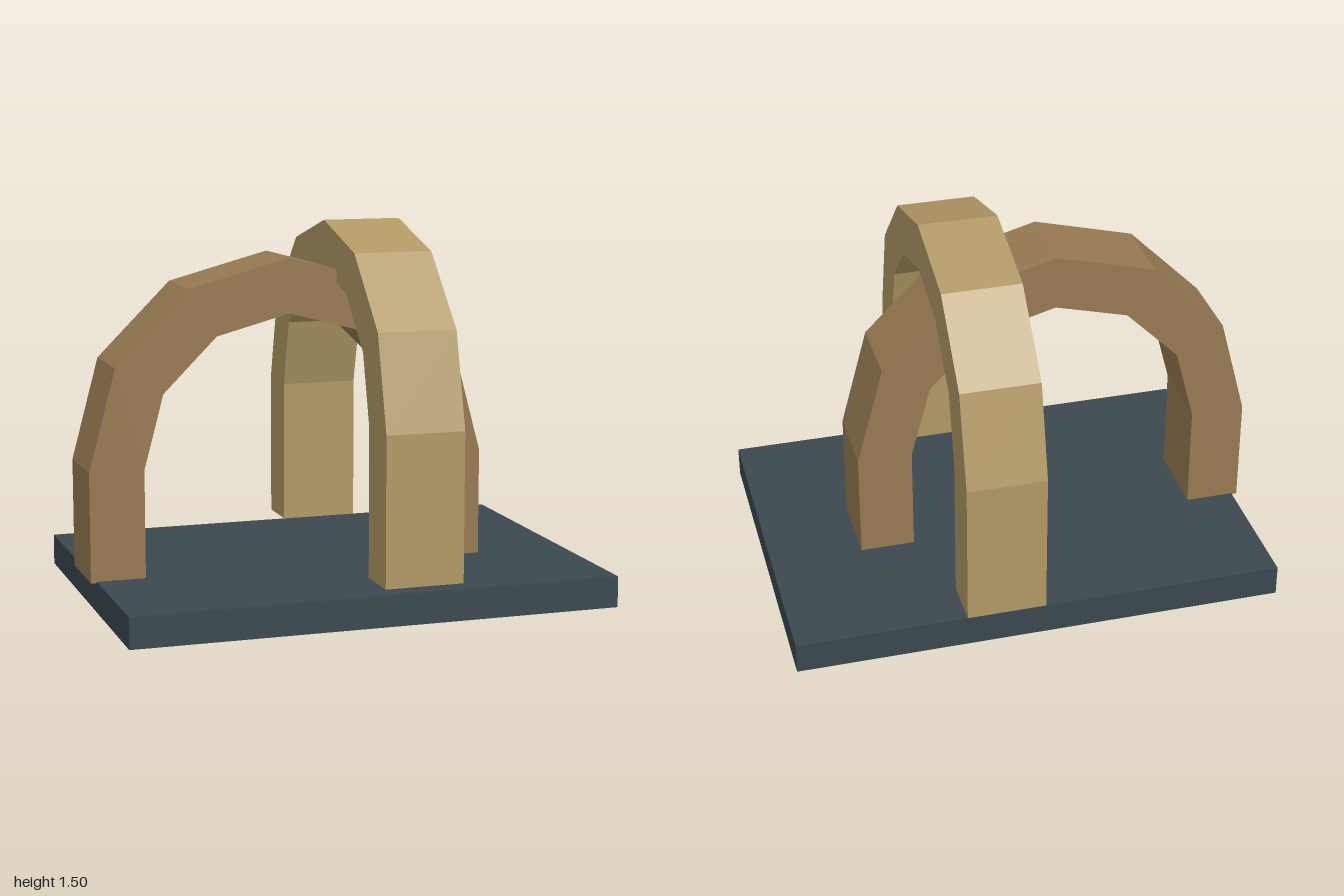
import * as THREE from 'three';

// Faceted arch in the XY plane, centred on x = 0, extruded evenly about z = 0
function archGeometry(outer, inner, spring, foot, depth, segments = 6) {
  const points = [new THREE.Vector2(outer, foot)];
  const arc = (radius, i) => {
    const a = (Math.PI * i) / segments;
    points.push(new THREE.Vector2(radius * Math.cos(a), spring + radius * Math.sin(a)));
  };
  for (let i = 0; i <= segments; i++) arc(outer, i);
  points.push(new THREE.Vector2(-outer, foot), new THREE.Vector2(-inner, foot));
  for (let i = segments; i >= 0; i--) arc(inner, i);
  points.push(new THREE.Vector2(inner, foot));
  const geometry = new THREE.ExtrudeGeometry(new THREE.Shape(points), { depth, bevelEnabled: false });
  return geometry.translate(0, 0, -depth / 2);
}

function material(name, color) {
  const m = new THREE.MeshStandardMaterial({ color });
  m.name = name;
  return m;
}

export function createModel() {
  const model = new THREE.Group();
  model.name = 'crossedArches';

  const add = (name, geometry, mat, x, y, z) => {
    const mesh = new THREE.Mesh(geometry, mat);
    mesh.name = name;
    mesh.position.set(x, y, z);
    model.add(mesh);
    return mesh;
  };

  // Base slab
  add('base', new THREE.BoxGeometry(1.975, 0.125, 1.416), material('slate', 0x3b474f), 0.0105, 0.0625, 0);

  // Wide arch spanning left to right
  add('wideArch', archGeometry(0.813, 0.593, 0.557, 0.12, 0.316), material('brown', 0x967951), -0.187, 0, -0.002);

  // Tall arch spanning front to back, its feet just above the base
  const tall = add('tallArch', archGeometry(0.75, 0.555, 0.752, 0.16, 0.317), material('gold', 0xb09865), 0.167, 0, -0.001);
  tall.rotation.y = Math.PI / 2;

  return model;
}
